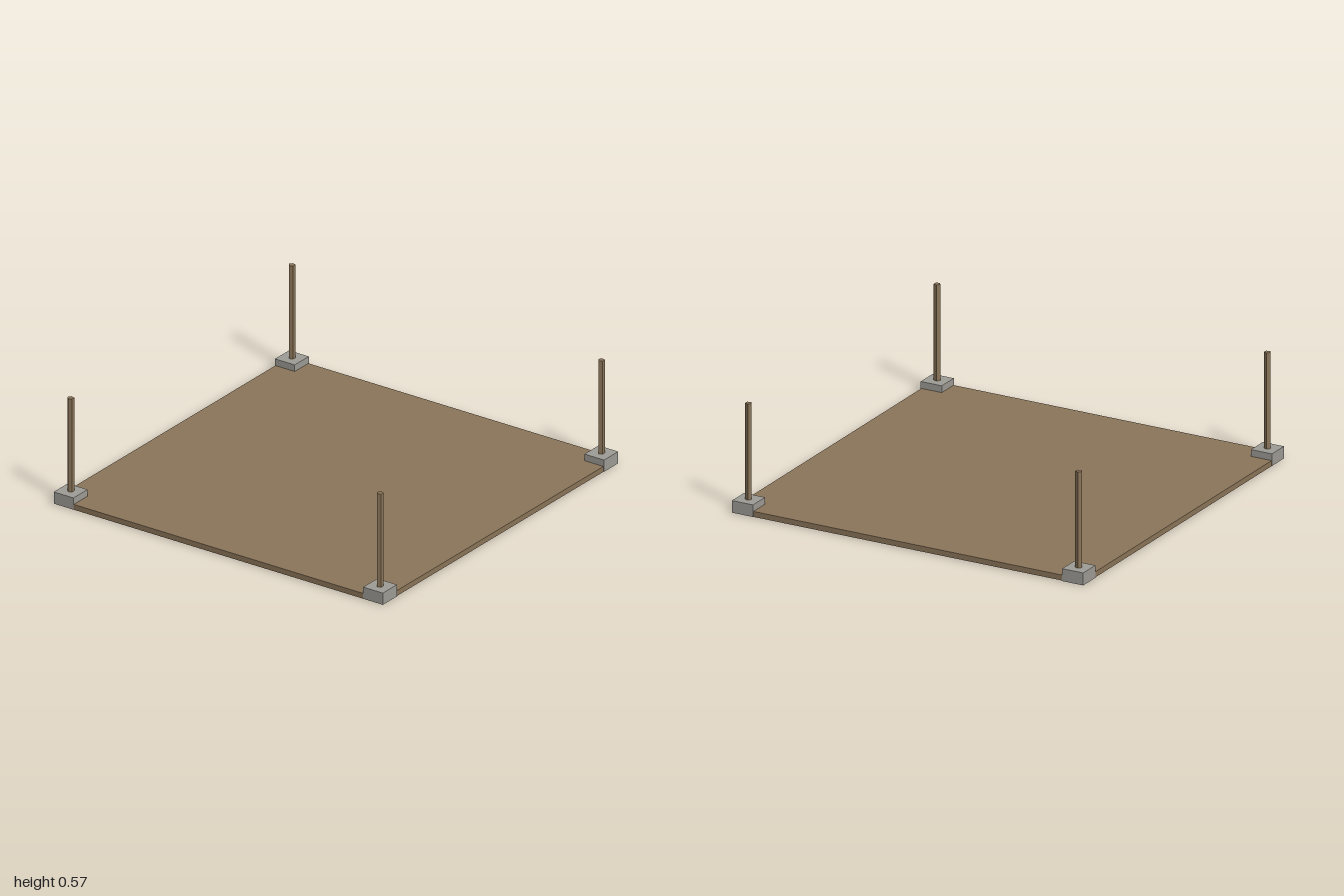
import * as THREE from 'three';

export function createModel() {
  const model = new THREE.Group();
  model.name = 'postedPlatform';

  const wood = new THREE.MeshStandardMaterial({ color: 0x8b7559 });
  wood.name = 'wood';
  const stone = new THREE.MeshStandardMaterial({ color: 0x9f9c96 });
  stone.name = 'stone';

  const add = (name, geometry, material, x, y, z) => {
    const mesh = new THREE.Mesh(geometry, material);
    mesh.name = name;
    mesh.position.set(x, y, z);
    model.add(mesh);
    return mesh;
  };

  // Thin floor slab, a hair inside the outer faces of the footings
  add('floor', new THREE.BoxGeometry(1.994, 0.029, 1.994), wood, -0.001, 0.0155, -0.001);

  // Five-sided posts with one flat face to the front; creased per-face normals
  const postHeight = 0.51;
  const postGeometry = new THREE.CylinderGeometry(0.018, 0.018, postHeight, 5)
    .rotateY(Math.PI).toNonIndexed();
  postGeometry.computeVertexNormals();

  // A square footing and a post at each corner
  for (const sx of [-1, 1]) {
    for (const sz of [-1, 1]) {
      // Only the back left footing reaches through the slab
      const base = sx > 0 && sz < 0 ? 0 : 0.002;
      const height = 0.066 - base;
      add('footing', new THREE.BoxGeometry(0.12, height, 0.12), stone,
        sx * 0.94, base + height / 2, sz * 0.94);
      add('post', postGeometry, wood, sx * 0.94, 0.065 + postHeight / 2, sz * 0.94);
    }
  }
  return model;
}
